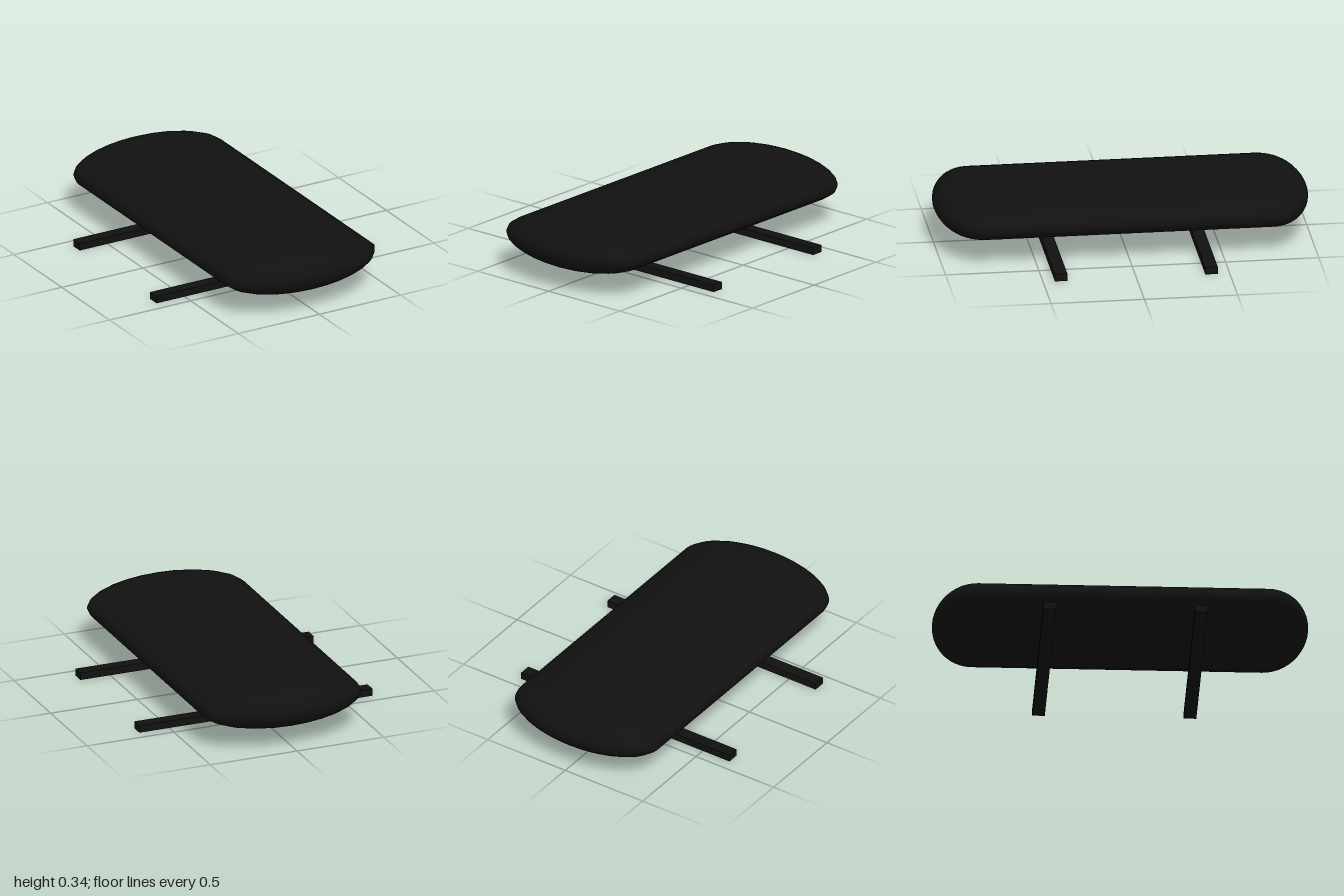
import * as THREE from 'three';

export function createModel() {
  const model = new THREE.Group();
  const black = new THREE.MeshStandardMaterial({ color: 0x111111 });
  black.name = 'black';

  // Flattened capsule lying along z
  const radius = 0.2275;
  const shell = new THREE.CapsuleGeometry(radius, 2 - 2 * radius, 12, 24);
  shell.rotateX(Math.PI / 2);
  shell.scale(2, 0.55, 1);
  const box = new THREE.Mesh(shell, black);
  box.name = 'cargoBox';
  box.position.y = 0.21;
  model.add(box);

  // Two crossbars underneath
  for (const [name, z] of [['frontCrossbar', 0.403], ['rearCrossbar', -0.403]]) {
    const bar = new THREE.Mesh(new THREE.BoxGeometry(1.344, 0.04, 0.067), black);
    bar.name = name;
    bar.position.set(0, 0.02, z);
    model.add(bar);
  }
  return model;
}
